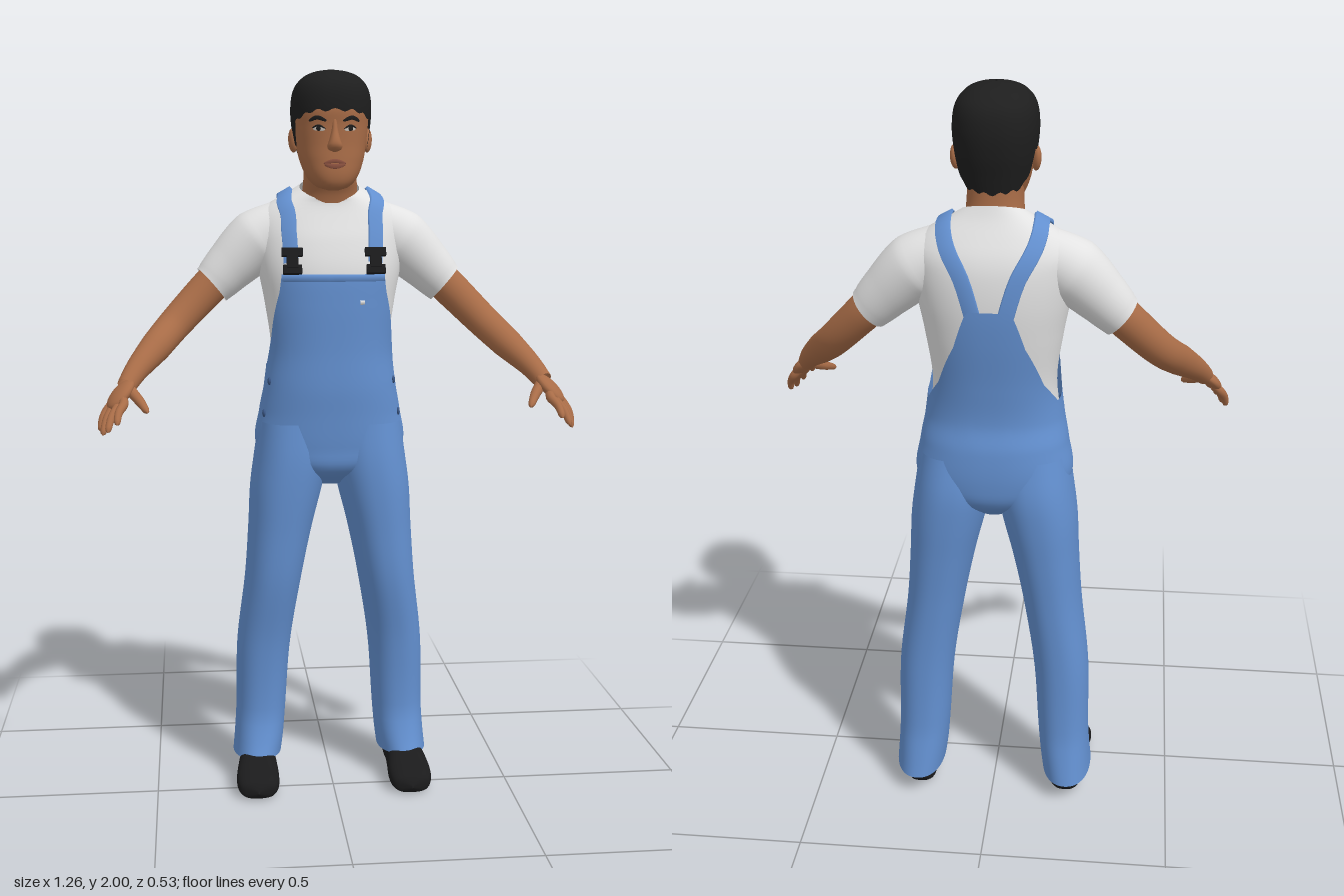
import * as THREE from 'three';

const mat = (name, color) => {
  const m = new THREE.MeshStandardMaterial({ color, side: THREE.DoubleSide });
  m.name = name;
  return m;
};

// grid of points -> smooth geometry; closed wraps the columns
function grid(rows, cols, closed, fn) {
  const pos = [], idx = [], w = closed ? cols : cols + 1;
  for (let i = 0; i <= rows; i++)
    for (let j = 0; j < w; j++) pos.push(...fn(i / rows, j / cols).toArray());
  for (let i = 0; i < rows; i++)
    for (let j = 0; j < cols; j++) {
      const k = (j + 1) % w, a = i * w + j, b = i * w + k;
      idx.push(a, a + w, b, b, a + w, b + w);
    }
  const g = new THREE.BufferGeometry();
  g.setAttribute('position', new THREE.Float32BufferAttribute(pos, 3));
  g.setIndex(idx);
  g.computeVertexNormals();
  return g;
}

// body surface from rings [y, centreX, halfWidth, zFront, zBack, exponent, frontDrop]
function surface(rings) {
  const R = rings.map(r => [r[0], r[1], r[2], r[3], r[4], r[5] ?? 2.3, r[6] ?? 0]);
  const slope = (i, c) => {
    const a = R[Math.max(i - 1, 0)], b = R[Math.min(i + 1, R.length - 1)];
    return (b[c] - a[c]) / (b[0] - a[0]);
  };
  const s = (th, y, off = 0) => {
    let k = 0;
    while (k < R.length - 2 && y > R[k + 1][0]) k++;
    const h = R[k + 1][0] - R[k][0], t = Math.min(1, Math.max(0, (y - R[k][0]) / h));
    const v = c => (1 + 2 * t) * (1 - t) ** 2 * R[k][c] + t * (1 - t) ** 2 * h * slope(k, c)
      + t * t * (3 - 2 * t) * R[k + 1][c] + t * t * (t - 1) * h * slope(k + 1, c);
    const p = x => Math.sign(x) * Math.abs(x) ** (2 / v(5)), c = Math.cos(th), n = Math.sin(th);
    return new THREE.Vector3(v(1) + (v(2) + off) * p(c), y - v(6) * n,
      (v(3) + v(4)) / 2 + ((v(3) - v(4)) / 2 + off) * p(n));
  };
  s.lo = R[0][0];
  s.hi = R[R.length - 1][0];
  return s;
}

// skin of a surface between two heights, either of which may vary with the angle
function shell(s, lo = () => s.lo, hi = () => s.hi, off = 0, rows = 40, cols = 64) {
  return grid(rows, cols, true, (u, v) => {
    const th = v * Math.PI * 2;
    return s(th, lo(th) + (hi(th) - lo(th)) * u, off);
  });
}

// band lying on a surface along a path of [angle, y]
function ribbon(s, path, width, off, taper = false) {
  const c = new THREE.SplineCurve(path.map(p => new THREE.Vector2(...p)));
  const at = t => { const q = c.getPoint(t); return s(q.x, q.y); };
  return grid(32, 3, false, (u, v) => {
    const q = c.getPoint(u), e = 0.004, P = s(q.x, q.y);
    const n = s(q.x, q.y + e).sub(s(q.x, q.y - e)).cross(s(q.x + e, q.y).sub(s(q.x - e, q.y))).normalize();
    const T = at(Math.min(1, u + 0.01)).sub(at(Math.max(0, u - 0.01))).normalize();
    const side = T.cross(n).normalize();
    const k = Math.round(v * 3), w = width * (taper ? Math.sqrt(Math.max(0, Math.sin(Math.PI * u))) : 1);
    return P.addScaledVector(side, w * [-0.5, -0.44, 0.44, 0.5][k])
      .addScaledVector(n, k === 0 || k === 3 ? off * 0.3 : off);
  });
}

// limb through [x, y, z, radius]
function limb(pts, rows = 24, cols = 20, round = false) {
  const c = new THREE.CatmullRomCurve3(pts.map(p => new THREE.Vector3(p[0], p[1], p[2])));
  const f = c.computeFrenetFrames(rows, false);
  return grid(rows, cols, true, (u, v) => {
    const i = Math.round(u * rows), t = c.getUtoTmapping(u) * (pts.length - 1);
    const k = Math.min(Math.floor(t), pts.length - 2), a = -v * Math.PI * 2;
    let r = pts[k][3] + (pts[k + 1][3] - pts[k][3]) * (t - k);
    if (round && u > 0.85) r *= Math.sqrt(Math.max(0, 1 - ((u - 0.85) / 0.15) ** 2));
    return c.getPointAt(u).addScaledVector(f.normals[i], r * Math.cos(a)).addScaledVector(f.binormals[i], r * Math.sin(a));
  });
}

function mirrored(g) {
  const m = g.clone().scale(-1, 1, 1), x = m.index.array;
  for (let i = 0; i < x.length; i += 3) [x[i + 1], x[i + 2]] = [x[i + 2], x[i + 1]];
  return m;
}

// edge height by angle away from the front
const edge = table => th => {
  const a = Math.abs(Math.atan2(Math.cos(th), Math.sin(th)));
  let k = 0;
  while (k < table.length - 2 && a > table[k + 1][0]) k++;
  const [p, q] = [table[k], table[k + 1]];
  return p[1] + (q[1] - p[1]) * Math.min(1, (a - p[0]) / (q[0] - p[0]));
};

export function createModel() {
  const model = new THREE.Group();
  const denim = mat('denim blue', 0x6390d0), stud = mat('stud blue', 0x3a5684);
  const cotton = mat('white cotton', 0xe2e2e2), skin = mat('skin', 0xa86c47);
  const hairMat = mat('black hair', 0x1e1e1e), black = mat('black leather', 0x1b1b1c);
  const lip = mat('lips', 0x8c5240), eyeWhite = mat('eye white', 0xcfc4ba);
  const add = (name, g, m) => {
    const o = new THREE.Mesh(g, m);
    o.name = name;
    model.add(o);
  };
  const pair = (name, g, m) => { add(name + 'Left', g, m); add(name + 'Right', mirrored(g), m); };

  // torso: shirt and overalls share one surface
  const torso = surface([
    [0.87, 0, 0.03, -0.07, -0.16], [0.92, 0, 0.14, 0, -0.225], [0.98, 0, 0.195, 0.012, -0.242],
    [1.08, 0, 0.185, 0.02, -0.24], [1.15, 0, 0.172, 0.025, -0.225], [1.25, 0, 0.163, 0.024, -0.232],
    [1.38, 0, 0.18, 0.026, -0.25], [1.47, 0, 0.197, 0.022, -0.257], [1.55, 0, 0.208, 0, -0.252],
    [1.6, 0, 0.208, -0.022, -0.238], [1.64, 0, 0.175, -0.036, -0.212, 2.3, 0.008],
    [1.67, 0, 0.122, -0.042, -0.19, 2.2, 0.016], [1.69, 0, 0.082, -0.038, -0.178, 2.1, 0.026]]);
  add('shirt', shell(torso, () => 1.14), cotton);
  const bibTop = edge([[0, 1.46], [0.7, 1.46], [0.75, 1.42], [1.2, 1.28], [1.5, 1.21], [1.9, 1.2],
    [2.3, 1.26], [2.7, 1.37], [2.92, 1.47], [3.15, 1.47]]);
  add('overallsBody', shell(torso, undefined, bibTop, 0.012, 50, 128), denim);
  add('bibTopHem', ribbon(torso, [[0.87, 1.45], [1.57, 1.45], [2.27, 1.45]], 0.02, 0.016), denim);
  pair('strap', ribbon(torso, [[1.03, 1.49], [1.04, 1.56], [1.0, 1.615], [0.72, 1.65], [0, 1.672],
    [-0.69, 1.655], [-1.06, 1.615], [-1.28, 1.55], [-1.42, 1.44]], 0.042, 0.011), denim);
  add('bibTag', ribbon(torso, [[1.25, 1.385], [1.18, 1.385]], 0.012, 0.016), cotton);

  // strap buckles and side studs
  for (const [w, h, y, z] of [[0.056, 0.022, 1.52, 0.02], [0.03, 0.04, 1.498, 0.03], [0.05, 0.024, 1.475, 0.036]])
    pair('buckle', new THREE.BoxGeometry(w, h, 0.016).rotateX(-0.35).translate(0.112, y, z), black);
  for (const y of [1.165, 1.075]) {
    const p = torso(0.36, y, 0.012);
    pair('stud', new THREE.SphereGeometry(0.011, 12, 8).scale(0.5, 1, 1).translate(p.x, p.y, p.z), stud);
  }

  // trouser legs
  pair('trouserLeg', shell(surface([
    [0.068, 0.212, 0.069, -0.005, -0.255, 2.2, -0.012], [0.12, 0.206, 0.07, -0.022, -0.243],
    [0.2, 0.2, 0.071, -0.042, -0.23], [0.4, 0.19, 0.076, -0.03, -0.226], [0.6, 0.162, 0.08, 0.006, -0.232],
    [0.75, 0.141, 0.09, 0.018, -0.243], [0.86, 0.124, 0.101, 0.025, -0.252],
    [0.95, 0.109, 0.104, 0.026, -0.253], [1.05, 0.1, 0.098, 0.018, -0.235]])), denim);

  // shoes, lofted heel to toe
  pair('shoe', shell(surface([
    [-0.203, 0.21, 0.002, -0.02, -0.03], [-0.198, 0.21, 0.028, -0.005, -0.052], [-0.18, 0.21, 0.043, 0, -0.075],
    [-0.1, 0.212, 0.048, 0, -0.1], [-0.03, 0.215, 0.055, 0, -0.095], [0.03, 0.217, 0.06, 0, -0.07],
    [0.07, 0.217, 0.054, 0, -0.055], [0.088, 0.217, 0.038, -0.003, -0.044],
    [0.096, 0.217, 0.002, -0.018, -0.026]].map(r => [...r, 2.7]))).rotateX(Math.PI / 2), black);

  // sleeves and arms
  pair('sleeve', limb([[0.12, 1.585, -0.13, 0.075], [0.2, 1.543, -0.13, 0.087], [0.27, 1.48, -0.126, 0.072],
    [0.318, 1.431, -0.121, 0.06], [0.325, 1.425, -0.12, 0.059], [0.322, 1.428, -0.12, 0.046]].slice(0, 5), 24, 32), cotton);
  pair('arm', limb([[0.28, 1.47, -0.122, 0.051], [0.34, 1.412, -0.115, 0.05], [0.43, 1.32, -0.07, 0.045],
    [0.48, 1.268, 0, 0.042], [0.53, 1.215, 0.075, 0.031], [0.555, 1.18, 0.12, 0.025]], 32, 24), skin);

  // hands: flat palm, four fingers and a thumb
  const index = new THREE.Vector3(0.56, 1.143, 0.19), little = new THREE.Vector3(0.602, 1.125, 0.147);
  const across = index.clone().sub(little).normalize(), along = new THREE.Vector3(0.035, -0.05, 0.065);
  along.addScaledVector(across, -along.dot(across)).normalize();
  const palm = new THREE.SphereGeometry(1, 20, 14).scale(0.037, 0.054, 0.018);
  palm.applyMatrix4(new THREE.Matrix4().makeBasis(across, along, across.clone().cross(along)));
  pair('palm', palm.translate(0.569, 1.162, 0.142), skin);
  [[0.575, 1.1, 0.263], [0.6, 1.078, 0.245], [0.614, 1.066, 0.215], [0.622, 1.07, 0.178]].forEach((tip, i) => {
    const k = index.clone().lerp(little, i / 3), t = new THREE.Vector3(...tip);
    const mid = k.clone().lerp(t, 0.5).add(new THREE.Vector3(0.004, 0.004, 0));
    const root = k.clone().lerp(new THREE.Vector3(0.565, 1.165, 0.14), 0.45);
    pair('finger', limb([[...root.toArray(), 0.012], [...k.toArray(), 0.0125],
      [...mid.toArray(), 0.0105], [...tip, 0.008]], 16, 12, true), skin);
  });
  pair('thumb', limb([[0.55, 1.175, 0.125, 0.016], [0.52, 1.148, 0.175, 0.013], [0.498, 1.125, 0.225, 0.008]], 16, 12, true), skin);

  // neck and head
  add('neck', shell(surface([[1.6, 0, 0.085, -0.05, -0.175], [1.67, 0, 0.076, -0.035, -0.168],
    [1.72, 0, 0.072, -0.01, -0.162], [1.78, 0, 0.072, 0, -0.16]])), skin);
  const head = surface([
    [1.682, 0, 0.012, 0.015, -0.01], [1.69, 0, 0.04, 0.034, -0.06], [1.715, 0, 0.066, 0.045, -0.11],
    [1.76, 0, 0.085, 0.045, -0.15], [1.8, 0, 0.093, 0.043, -0.17], [1.85, 0, 0.099, 0.044, -0.185],
    [1.9, 0, 0.1, 0.046, -0.19], [1.95, 0, 0.085, 0.02, -0.17], [1.98, 0, 0.05, -0.02, -0.13]]);
  add('head', shell(head), skin);
  add('nose', shell(surface([[1.782, 0, 0.004, 0.046, 0.03], [1.788, 0, 0.017, 0.056, 0.02],
    [1.798, 0, 0.02, 0.063, 0.02], [1.81, 0, 0.016, 0.063, 0.02], [1.84, 0, 0.009, 0.053, 0.02],
    [1.87, 0, 0.007, 0.045, 0.02]]), undefined, undefined, 0, 16, 24), skin);
  pair('ear', new THREE.SphereGeometry(1, 16, 12).scale(0.012, 0.033, 0.02).rotateX(-0.2).rotateY(-0.3)
    .translate(0.101, 1.815, -0.08), skin);

  // face details
  pair('eyebrow', ribbon(head, [[1.4, 1.862], [1.15, 1.871], [0.92, 1.862]], 0.011, 0.004, true), hairMat);
  pair('eye', ribbon(head, [[1.36, 1.84], [1.19, 1.844], [1.03, 1.842]], 0.014, 0.002, true), eyeWhite);
  pair('iris', ribbon(head, [[1.25, 1.843], [1.13, 1.843]], 0.013, 0.004, true), hairMat);
  pair('eyelash', ribbon(head, [[1.37, 1.842], [1.19, 1.851], [1.01, 1.844]], 0.005, 0.004, true), hairMat);
  add('upperLip', ribbon(head, [[1.27, 1.752], [1.57, 1.759], [1.87, 1.752]], 0.01, 0.005, true), lip);
  add('lowerLip', ribbon(head, [[1.29, 1.75], [1.57, 1.745], [1.85, 1.75]], 0.013, 0.006, true), lip);

  // hair cap with fringe, sideburns and nape
  const hair = surface([
    [1.72, 0, 0.075, 0.02, -0.165], [1.78, 0, 0.094, 0.045, -0.182], [1.84, 0, 0.104, 0.052, -0.198],
    [1.9, 0, 0.108, 0.06, -0.203], [1.95, 0, 0.099, 0.052, -0.19], [1.98, 0, 0.074, 0.025, -0.155],
    [1.994, 0, 0.042, -0.015, -0.115], [2, 0, 0.003, -0.06, -0.07]]);
  const line = edge([[0, 1.89], [0.5, 1.888], [0.95, 1.872], [1.2, 1.86], [1.3, 1.8], [1.45, 1.8],
    [1.55, 1.845], [1.85, 1.84], [1.98, 1.79], [2.3, 1.752], [3.15, 1.742]]);
  add('hair', shell(hair, th => line(th) + 0.004 * Math.sin(th * 17), undefined, 0, 48, 96), hairMat);
  return model;
}
